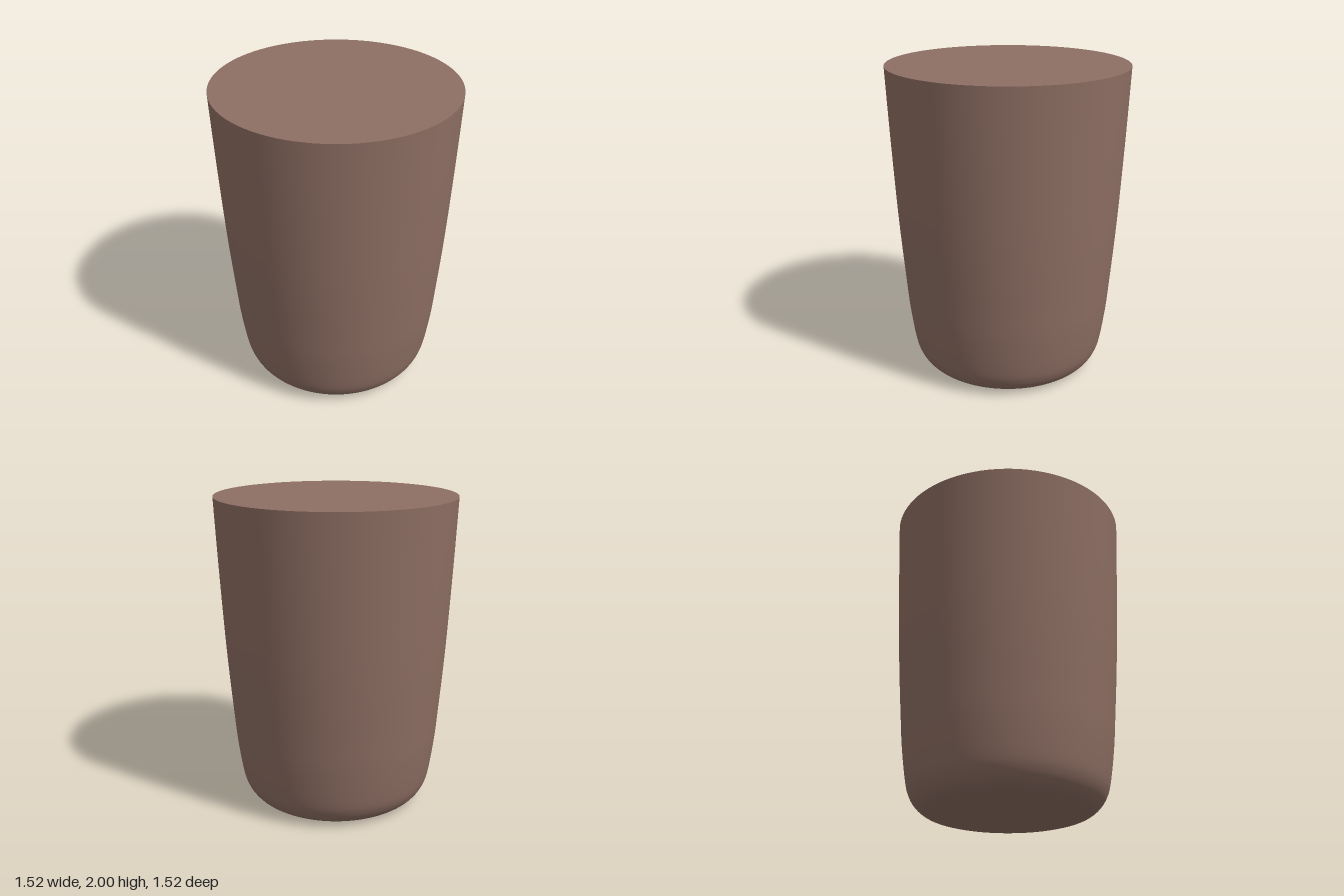
import * as THREE from 'three';

export function createModel() {
  const group = new THREE.Group();
  group.name = 'tumbler';
  const material = new THREE.MeshStandardMaterial({ color: 0x8d6e63 });
  const segments = 96;
  const topRadius = 0.76;

  // Tapered wall with a rounded foot, swept around the y axis
  const wall = new THREE.SplineCurve([
    [0.49, 0.008], [0.525, 0.017], [0.568, 0.05], [0.605, 0.105], [0.63, 0.19],
    [0.66, 0.4], [0.678, 0.6], [0.709, 1.0], [0.737, 1.5], [topRadius, 2],
  ].map(([r, y]) => new THREE.Vector2(r, y)));
  const profile = [new THREE.Vector2(0, 0), new THREE.Vector2(0.46, 0.004), ...wall.getPoints(54)];
  const body = new THREE.Mesh(new THREE.LatheGeometry(profile, segments), material);
  body.name = 'body';

  // Flat top, a separate disc so the rim stays sharp
  const top = new THREE.Mesh(new THREE.CircleGeometry(topRadius, segments), material);
  top.name = 'topFace';
  top.rotation.x = -Math.PI / 2;
  top.position.y = 2;

  group.add(body, top);
  return group;
}
